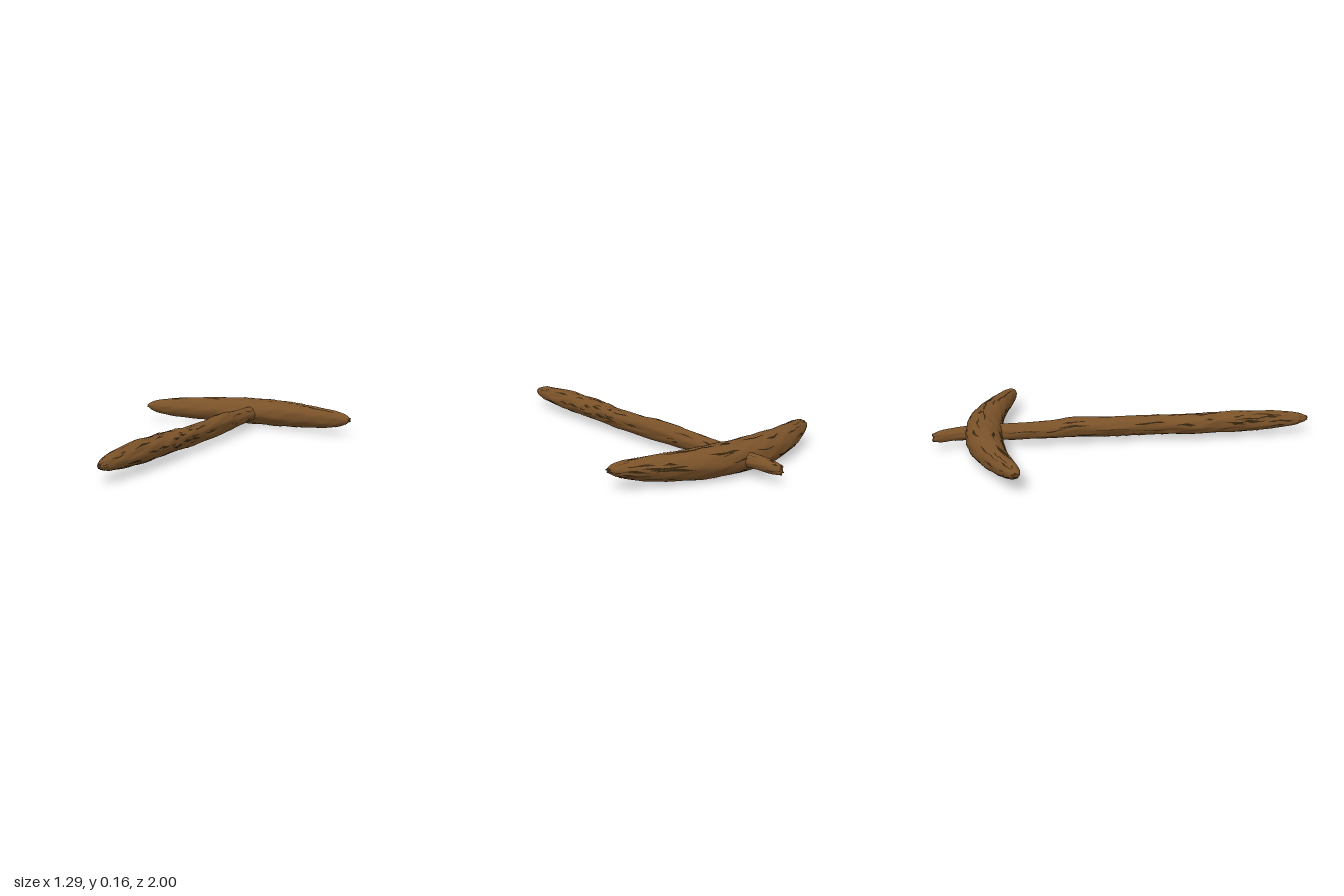
import * as THREE from 'three';

const TAU = Math.PI * 2;

// Small seeded random generator
function seeded(seed) {
  return () => (seed = (seed * 16807) % 2147483647) / 2147483647;
}

// Smooth interpolation of rows [along, side, y, halfSide, halfY]
function sample(keys, t) {
  const f = t * (keys.length - 1);
  const i = Math.min(Math.floor(f), keys.length - 2);
  const k = (n) => keys[Math.max(0, Math.min(keys.length - 1, n))];
  const u = f - i;
  return keys[0].map((_, c) => {
    const p0 = k(i - 1)[c], p1 = k(i)[c], p2 = k(i + 1)[c], p3 = k(i + 2)[c];
    return p1 + 0.5 * u * (p2 - p0 + u * (2 * p0 - 5 * p1 + 4 * p2 - p3 + u * (3 * (p1 - p2) + p3 - p0)));
  });
}

// Returns a function giving a point on a gnarled branch, running along local z
function branchSurface(keys, phase, rough) {
  return (t, a, lift = 0) => {
    const [z, x, y, rx, ry] = sample(keys, t);
    const n = 1 + rough * (
      0.45 * Math.sin(3 * a + 9 * t + phase) +
      0.35 * Math.sin(5 * a - 23 * t + 2 * phase) * Math.sin(17 * t + phase) +
      0.35 * Math.sin(11 * a + 31 * t + phase) * Math.sin(41 * t + 2 * a) +
      0.25 * Math.sin(7 * a + 67 * t));
    const end = Math.max(0, Math.abs(t - 0.5) * 2 - 0.94) / 0.06;
    const ragged = end * 0.008 * Math.sin(7 * a + phase) * Math.sin(3 * a);
    return [
      x + Math.cos(a) * (rx * n + lift),
      y + Math.sin(a) * (ry * n + lift),
      z + ragged];
  };
}

function toGeometry(positions, index) {
  const g = new THREE.BufferGeometry();
  g.setAttribute('position', new THREE.Float32BufferAttribute(positions, 3));
  g.setIndex(index);
  g.computeVertexNormals();
  return g;
}

// Closed skin of the branch, with a fan at each end
function branchGeometry(surface, keys, rings = 160, sides = 44) {
  const pos = [], index = [];
  for (let i = 0; i <= rings; i++) {
    for (let j = 0; j < sides; j++) pos.push(...surface(i / rings, (j / sides) * TAU));
  }
  for (let j = 0; j < sides; j++) {
    const k = (j + 1) % sides;
    for (let i = 0; i < rings; i++) {
      const a = i * sides, b = a + sides;
      index.push(a + j, a + k, b + k, a + j, b + k, b + j);
    }
    const base = (rings + 1) * sides, last = rings * sides;
    index.push(base, k, j, base + 1, last + j, last + k);
  }
  for (const key of [keys[0], keys[keys.length - 1]]) pos.push(key[1], key[2], key[0]);
  return toGeometry(pos, index);
}

// Dark, slender bark grooves lying on the skin
function grooveGeometry(surface, count, seed, accept, maxLength, maxWidth) {
  const rnd = seeded(seed), pos = [], index = [];
  const steps = 10, across = 4;
  for (let n = 0; n < count; n++) {
    const t0 = 0.02 + rnd() * 0.94, a0 = rnd() * TAU;
    const len = maxLength * (0.3 + 0.7 * rnd()), width = maxWidth * (0.3 + 0.7 * rnd());
    const drift = (rnd() - 0.5) * 0.3, wob = rnd() * TAU;
    if (!accept(a0, t0)) continue;
    const start = pos.length / 3;
    for (let i = 0; i <= steps; i++) {
      const u = i / steps;
      const w = width * Math.sin(Math.PI * u) * (0.75 + 0.25 * Math.sin(9 * u + wob));
      for (let j = 0; j <= across; j++) {
        const a = a0 + drift * u + w * (j / across - 0.5) + 0.04 * Math.sin(7 * u + wob);
        pos.push(...surface(Math.min(1, t0 + len * u), a, 0.0018));
      }
    }
    for (let i = 0; i < steps; i++) {
      for (let j = 0; j < across; j++) {
        const a = start + i * (across + 1) + j, b = a + across + 1;
        index.push(a, a + 1, b + 1, a, b + 1, b);
      }
    }
  }
  return toGeometry(pos, index);
}

// Rows are [along, side, y, halfSide, halfY]
const handleKeys = [
  [-0.995, -0.018, 0.07, 0.010, 0.022],
  [-0.95, -0.010, 0.073, 0.024, 0.031],
  [-0.85, 0.004, 0.08, 0.034, 0.034],
  [-0.7, 0.006, 0.08, 0.038, 0.038],
  [-0.55, 0.002, 0.078, 0.045, 0.042],
  [-0.38, 0.004, 0.08, 0.047, 0.047],
  [-0.25, 0.010, 0.084, 0.049, 0.053],
  [-0.05, 0.012, 0.079, 0.050, 0.052],
  [0.15, 0.014, 0.079, 0.048, 0.052],
  [0.27, 0.008, 0.080, 0.054, 0.052],
  [0.4, 0.001, 0.081, 0.065, 0.053],
  [0.52, 0.006, 0.083, 0.057, 0.054],
  [0.65, 0.003, 0.084, 0.057, 0.055],
  [0.8, 0.002, 0.084, 0.050, 0.047],
  [0.91, 0, 0.084, 0.038, 0.036],
  [0.97, 0, 0.084, 0.021, 0.022],
  [0.995, 0, 0.084, 0.007, 0.010],
];
const headHalf = [
  [0, 0.737, 0.083, 0.094, 0.075],
  [0.12, 0.733, 0.083, 0.092, 0.075],
  [0.25, 0.712, 0.083, 0.084, 0.071],
  [0.38, 0.677, 0.085, 0.070, 0.063],
  [0.49, 0.637, 0.088, 0.056, 0.053],
  [0.57, 0.606, 0.093, 0.044, 0.041],
  [0.615, 0.590, 0.096, 0.031, 0.026],
  [0.64, 0.582, 0.097, 0.013, 0.009],
];
const headKeys = [
  ...headHalf.slice(1).reverse().map(([x, ...rest]) => [-x, ...rest]),
  ...headHalf,
];

function branch(name, keys, phase, rough, grooves, wood, bark) {
  const group = new THREE.Group();
  group.name = name;
  const surface = branchSurface(keys, phase, rough);
  const body = new THREE.Mesh(branchGeometry(surface, keys), wood);
  body.name = name + 'Wood';
  const marks = new THREE.Mesh(grooveGeometry(surface, ...grooves), bark);
  marks.name = name + 'Grooves';
  group.add(body, marks);
  return group;
}

export function createModel() {
  const model = new THREE.Group();
  model.name = 'woodenPick';
  const wood = new THREE.MeshStandardMaterial({ color: 0x7a5229 });
  const bark = new THREE.MeshStandardMaterial({ color: 0x38260f });

  // Straight shaft, passing through the head
  model.add(branch('handle', handleKeys, 1.3, 0.085,
    [120, 77, () => true, 0.07, 0.3], wood, bark));

  // Curved crossbar, laid across the shaft; its inner side stays smooth
  const head = branch('head', headKeys, 0.4, 0.05,
    [105, 4211, (a, t) => Math.abs(a - Math.PI) > 0.95 || Math.abs(t - 0.5) > 0.45, 0.13, 0.26], wood, bark);
  head.rotation.y = Math.PI / 2;
  model.add(head);
  return model;
}
